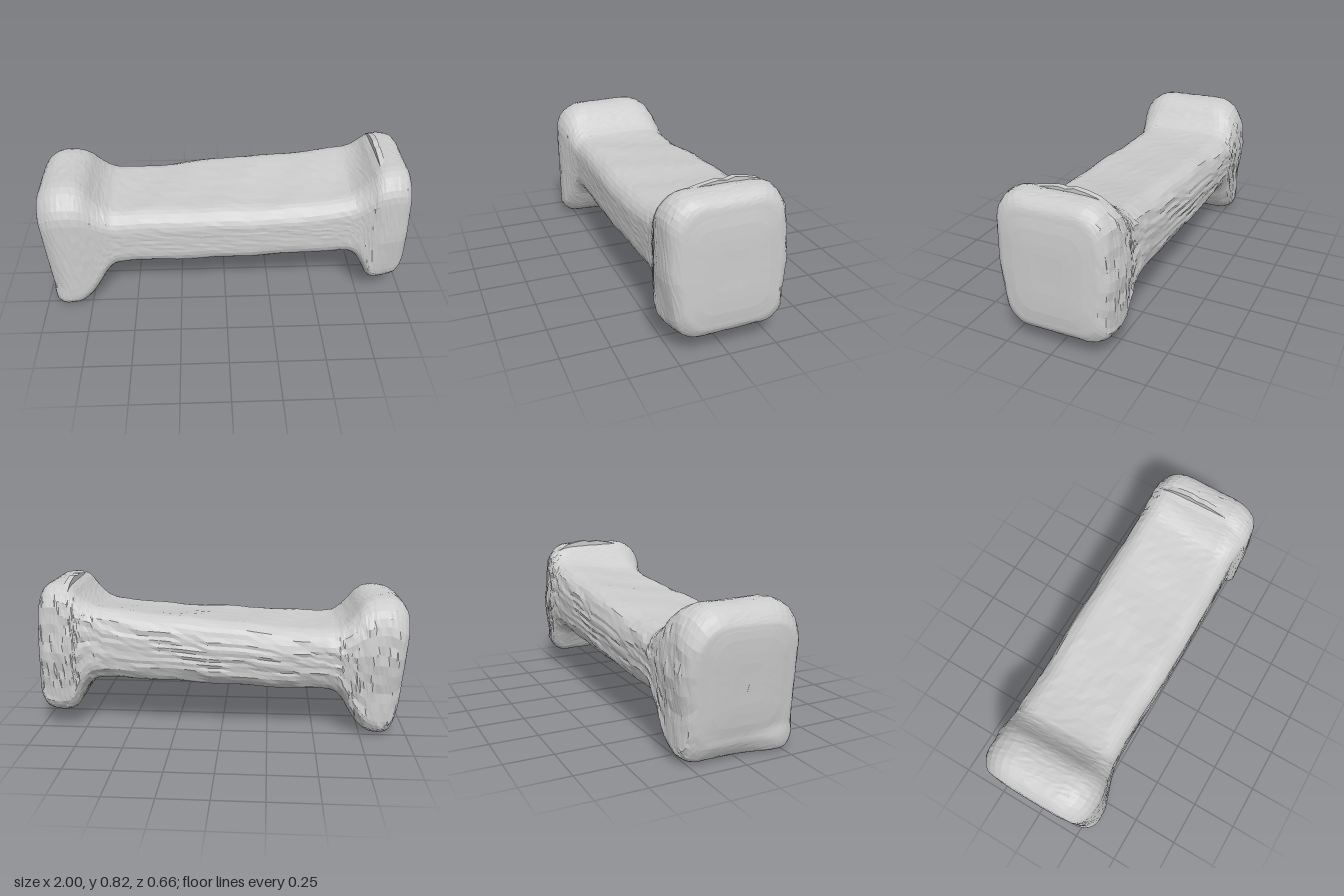
import * as THREE from 'three';

// Stations along x: x, bottom, top, back z, front z, top radius, bottom radius
const STATIONS = [
  [-0.990, 0.14, 0.63, -0.20, 0.22, 0.11, 0.10],
  [-0.980, 0.08, 0.665, -0.25, 0.27, 0.14, 0.10],
  [-0.940, 0.02, 0.715, -0.285, 0.305, 0.17, 0.09],
  [-0.880, 0.005, 0.742, -0.30, 0.325, 0.17, 0.09],
  [-0.800, 0.02, 0.742, -0.305, 0.325, 0.17, 0.09],
  [-0.740, 0.06, 0.71, -0.305, 0.31, 0.15, 0.10],
  [-0.690, 0.13, 0.65, -0.305, 0.295, 0.12, 0.10],
  [-0.640, 0.21, 0.605, -0.305, 0.285, 0.10, 0.10],
  [-0.570, 0.25, 0.585, -0.305, 0.275, 0.10, 0.10],
  [-0.350, 0.252, 0.592, -0.305, 0.272, 0.10, 0.10],
  [0.000, 0.27, 0.628, -0.312, 0.285, 0.10, 0.10],
  [0.350, 0.285, 0.655, -0.308, 0.285, 0.10, 0.10],
  [0.620, 0.294, 0.685, -0.308, 0.28, 0.10, 0.10],
  [0.710, 0.265, 0.71, -0.308, 0.28, 0.11, 0.10],
  [0.760, 0.19, 0.74, -0.31, 0.29, 0.12, 0.10],
  [0.790, 0.13, 0.77, -0.31, 0.30, 0.13, 0.10],
  [0.830, 0.105, 0.795, -0.31, 0.305, 0.14, 0.10],
  [0.890, 0.098, 0.802, -0.30, 0.30, 0.14, 0.10],
  [0.945, 0.11, 0.79, -0.285, 0.285, 0.14, 0.10],
  [0.978, 0.15, 0.755, -0.255, 0.25, 0.13, 0.10],
  [0.988, 0.20, 0.70, -0.22, 0.21, 0.11, 0.09],
];
const RINGS = 110, CORNER = 6, EDGE = 9;
const smooth = THREE.MathUtils.smoothstep;

// Small repeatable value in -1..1
function noise(a, b) {
  const s = Math.sin(a * 127.1 + b * 311.7) * 43758.5453;
  return (s - Math.floor(s)) * 2 - 1;
}

// Rounded rectangle loop in (z, y): front, top, back, bottom
function roundedLoop(bottom, top, back, front, rt, rb) {
  const corners = [
    [front - rt, top - rt, rt], [back + rt, top - rt, rt],
    [back + rb, bottom + rb, rb], [front - rb, bottom + rb, rb],
  ];
  const onCorner = (c, t) => {
    const [z, y, r] = corners[c % 4], a = (c + t) * Math.PI / 2;
    return new THREE.Vector2(z + r * Math.cos(a), y + r * Math.sin(a));
  };
  const pts = [];
  for (let c = 0; c < 4; c++) {
    for (let i = 0; i <= CORNER; i++) pts.push(onCorner(c, i / CORNER));
    const from = onCorner(c, 1), to = onCorner(c + 1, 0);
    for (let i = 1; i < EDGE; i++) pts.push(from.clone().lerp(to, i / EDGE));
  }
  return pts;
}

// Uneven, hand-worn shaping of a point on the regular loft
function shapePoint(p, i, j) {
  const { x, y, z } = p;
  // Left end leans inward toward its foot, with a pinched front toe
  const toe = 0.3 * Math.max(0, 0.15 - y) * smooth(z, 0, 0.25);
  p.x += smooth(-x, 0.75, 0.98) * (0.08 * (0.6 - Math.max(y, 0.12)) - toe);
  // Right end leans outward toward its foot and narrows there at the front
  const right = smooth(x, 0.75, 0.9);
  p.x += right * 0.035 * (0.5 - y);
  p.z -= right * 0.14 * Math.max(0, 0.42 - y) * smooth(z, 0, 0.25);
  // Bar's top slopes down to the front
  const bar = smooth(x, -0.6, 0.4) * (1 - smooth(x, 0.66, 0.8));
  p.y -= 0.045 * bar * smooth(y, 0.42, 0.6) * smooth(z, -0.3, 0.2);
  // Back swells at mid height and is roughest, with streaks along the bar
  const back = smooth(-z, 0.2, 0.29);
  p.z -= back * 0.018 * Math.max(0, 1 - Math.abs(y - 0.45) / 0.2);
  p.z += back * 0.005 * noise(Math.floor((i + j * 2) / 4), j) + 0.0015 * noise(i, j);
  p.y += 0.0015 * noise(j, i) + 0.003 * Math.sin(x * 17 + z * 9);
  p.y = Math.max(p.y, 0);
}

function buildBone() {
  const track = (a, b, c) => new THREE.CatmullRomCurve3(
    STATIONS.map(s => new THREE.Vector3(s[a], s[b], s[c])), false, 'catmullrom', 0.5);
  const heights = track(0, 1, 2), depths = track(3, 4, 5), feet = track(0, 1, 6);
  const rings = [];
  for (let i = 0; i <= RINGS; i++) {
    const t = i / RINGS;
    const h = heights.getPoint(t), d = depths.getPoint(t), f = feet.getPoint(t);
    rings.push({ x: h.x, loop: roundedLoop(h.y, h.z, d.x, d.y, d.z, f.z) });
  }

  // Gently domed end faces: shrinking copies of the end loops
  const first = rings[0], last = rings[RINGS];
  const shrink = ({ x, loop }, k, dx) => {
    const mid = loop.reduce((m, p) => m.add(p), new THREE.Vector2())
      .divideScalar(loop.length);
    return { x: x + dx, loop: loop.map(p => mid.clone().lerp(p, k)) };
  };
  [[0.85, 0.005], [0.6, 0.008], [0.4, 0.009], [0.2, 0.008], [0, 0.008]].forEach(([k, dx]) => {
    rings.unshift(shrink(first, k, -dx));
    rings.push(shrink(last, k, dx));
  });

  const positions = [], index = [], n = first.loop.length;
  rings.forEach(({ x, loop }, i) => loop.forEach((q, j) => {
    const p = new THREE.Vector3(x, q.y, q.x);
    shapePoint(p, i, j);
    positions.push(p.x, p.y, p.z);
  }));
  for (let i = 0; i < rings.length - 1; i++) {
    for (let j = 0; j < n; j++) {
      const a = i * n + j, b = i * n + (j + 1) % n;
      index.push(a, a + n, b, b, a + n, b + n);
    }
  }
  const g = new THREE.BufferGeometry();
  g.setAttribute('position', new THREE.Float32BufferAttribute(positions, 3));
  g.setIndex(index);
  g.computeVertexNormals();
  return g;
}

// Thin ragged lip along the top of the taller end
function buildLip() {
  const shape = new THREE.Shape();
  shape.moveTo(-0.22, 0.72);
  [[-0.24, 0.77], [-0.19, 0.80], [-0.13, 0.815], [-0.07, 0.823], [-0.03, 0.812],
    [0.01, 0.818], [0.06, 0.81], [0.12, 0.798], [0.18, 0.78], [0.18, 0.72]]
    .forEach(([z, y]) => shape.lineTo(z, y));
  const g = new THREE.ExtrudeGeometry(shape, { depth: 0.03, bevelEnabled: false });
  g.rotateY(-Math.PI / 2);
  g.translate(0.84, 0, 0);
  return g;
}

export function createModel() {
  const model = new THREE.Group();
  model.name = 'bone';
  const material = new THREE.MeshStandardMaterial({ color: 0xcccccc, flatShading: true });
  const body = new THREE.Mesh(buildBone(), material);
  body.name = 'boneBody';
  const lip = new THREE.Mesh(buildLip(), material);
  lip.name = 'raggedLip';
  model.add(body, lip);
  return model;
}
